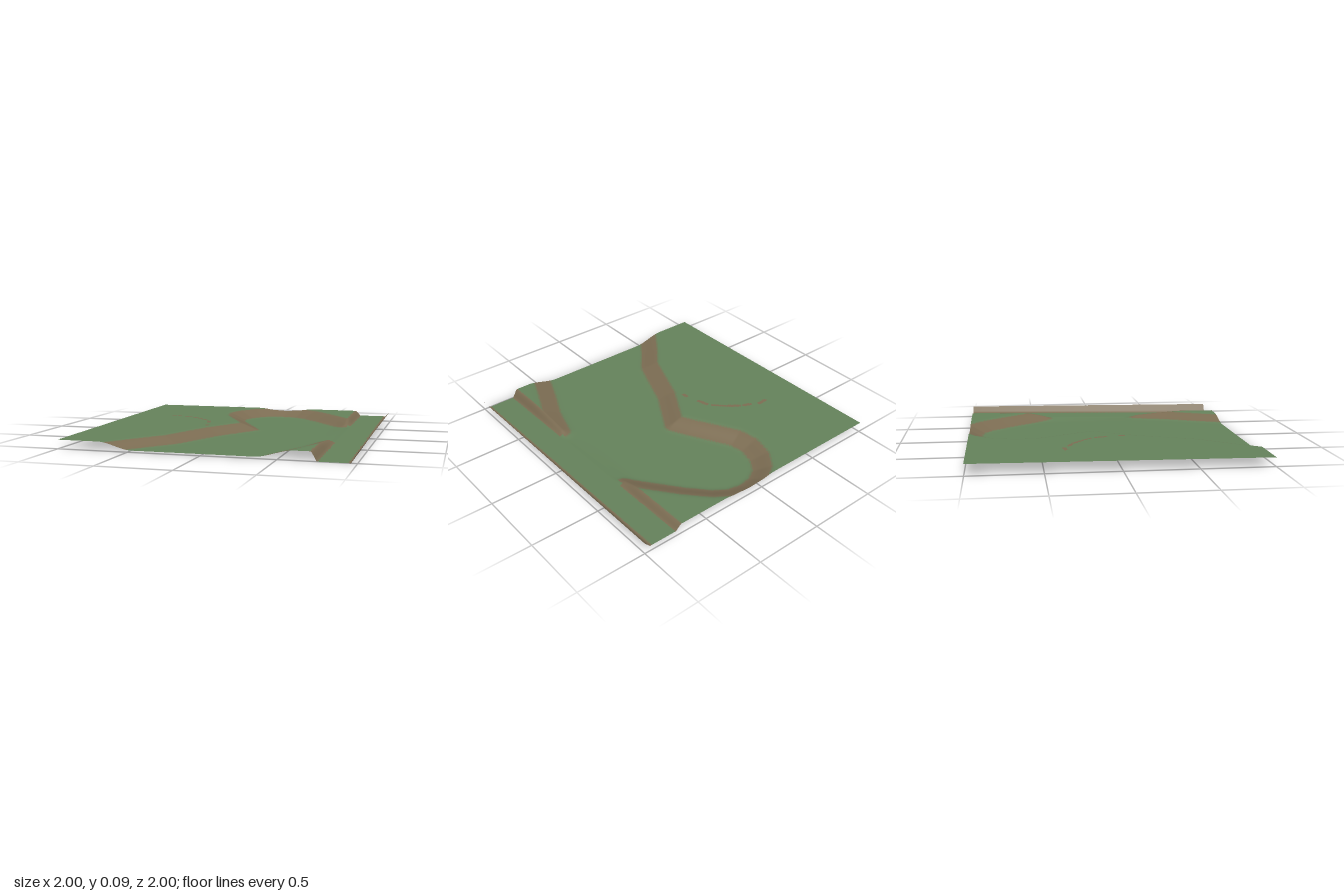
import * as THREE from 'three';

const { smoothstep, lerp, clamp } = THREE.MathUtils;

// Middle line of the long bank, front edge round to the ditch (x, z)
const bank = [[-0.73, 1.2], [-0.59, 1], [-0.47, 0.83], [-0.33, 0.65], [-0.27, 0.5], [-0.16, 0.22],
  [0.03, -0.1], [-0.03, -0.22], [-0.13, -0.4], [-0.2, -0.53], [-0.215, -0.65], [-0.18, -0.79],
  [-0.1, -0.9], [0, -0.96], [0.12, -0.975], [0.24, -0.95], [0.34, -0.88], [0.47, -0.74],
  [0.61, -0.56], [0.72, -0.42]];
// Middle line of the bank of the small front knoll
const knoll = [[0.72, 0.36], [0.65, 0.6], [0.56, 0.8], [0.48, 1], [0.4, 1.2]];
// Thin line of bare earth on the upper meadow
const scars = [
  [[-0.67, -0.34], [-0.61, -0.345]],
  [[-0.55, -0.31], [-0.5, -0.29]],
  [[-0.47, -0.27], [-0.4, -0.22], [-0.32, -0.14]],
  [[-0.295, -0.1], [-0.275, -0.03]],
  [[-0.248, 0.08], [-0.242, 0.11]],
];
const valley = [...bank, ...knoll];

function distanceTo(line, x, z) {
  let best = Infinity;
  for (let i = 1; i < line.length; i++) {
    const [ax, az] = line[i - 1], [bx, bz] = line[i];
    const dx = bx - ax, dz = bz - az;
    const t = clamp(((x - ax) * dx + (z - az) * dz) / (dx * dx + dz * dz), 0, 1);
    best = Math.min(best, Math.hypot(x - ax - t * dx, z - az - t * dz));
  }
  return best;
}

function inValley(x, z) {
  let inside = false;
  for (let i = 0, j = valley.length - 1; i < valley.length; j = i++) {
    const [ax, az] = valley[i], [bx, bz] = valley[j];
    if ((az > z) !== (bz > z) && x < ax + (bx - ax) * (z - az) / (bz - az)) inside = !inside;
  }
  return inside;
}

// Meadow falling through the banks to the valley floor
function land(x, z) {
  const sign = inValley(x, z) ? 1 : -1;
  const d = Math.min(distanceTo(bank, x, z) / 0.1, distanceTo(knoll, x, z) / 0.12);
  const floor = 0.012 + 0.012 * smoothstep(x, 0.6, 0.75) * smoothstep(-z, -0.4, 0.5);
  return lerp(0.07 - 0.008 * z, floor, smoothstep(sign * d, -1, 1));
}

const ditch = (z) => 0.02 - 0.02 * z;

function height(x, z) {
  if (x > 0.96) return lerp(ditch(z), 0.076 - 0.01 * z, (x - 0.96) / 0.04);
  return lerp(land(Math.min(x, 0.715), z), ditch(z), clamp((x - 0.715) / 0.035, 0, 1));
}

// 0 grass, 1 worn edge, 2 bare earth
function ground(x, z) {
  if (x > 0.945) return 2;
  if (x > 0.755) return 0;
  if (x > 0.705 && land(0.715, z) - ditch(z) > 0.015) return 2;
  const d = Math.min(distanceTo(bank, x, z), distanceTo(knoll, x, z));
  if (x < 0.73 && d < 0.062) return 2;
  if (scars.some((s) => distanceTo(s, x, z) < 0.014)) return 2;
  return x < 0.73 && d < 0.074 ? 1 : 0;
}

export function createModel() {
  const material = (name, color) => {
    const m = new THREE.MeshStandardMaterial({ color, side: THREE.DoubleSide });
    m.name = name;
    return m;
  };
  const materials = [
    material('grass', 0x64815a),
    material('wornEdge', 0x6d7856),
    material('bareEarth', 0x7b6c52),
  ];

  // Square sheet raised by the height rule
  const geo = new THREE.PlaneGeometry(2, 2, 200, 200).rotateX(-Math.PI / 2);
  const p = geo.attributes.position;
  for (let i = 0; i < p.count; i++) p.setY(i, height(p.getX(i), p.getZ(i)));

  // Sort the triangles by ground cover
  const index = geo.index.array;
  const lists = materials.map(() => []);
  for (let i = 0; i < index.length; i += 3) {
    const [a, b, c] = [index[i], index[i + 1], index[i + 2]];
    const x = (p.getX(a) + p.getX(b) + p.getX(c)) / 3;
    const z = (p.getZ(a) + p.getZ(b) + p.getZ(c)) / 3;
    lists[ground(x, z)].push(a, b, c);
  }
  geo.setIndex(lists.flat());
  let start = 0;
  lists.forEach((list, i) => {
    geo.addGroup(start, list.length, i);
    start += list.length;
  });
  geo.computeVertexNormals();

  const terrain = new THREE.Mesh(geo, materials);
  terrain.name = 'terrain';
  const group = new THREE.Group();
  group.name = 'landscape';
  group.add(terrain);
  return group;
}
